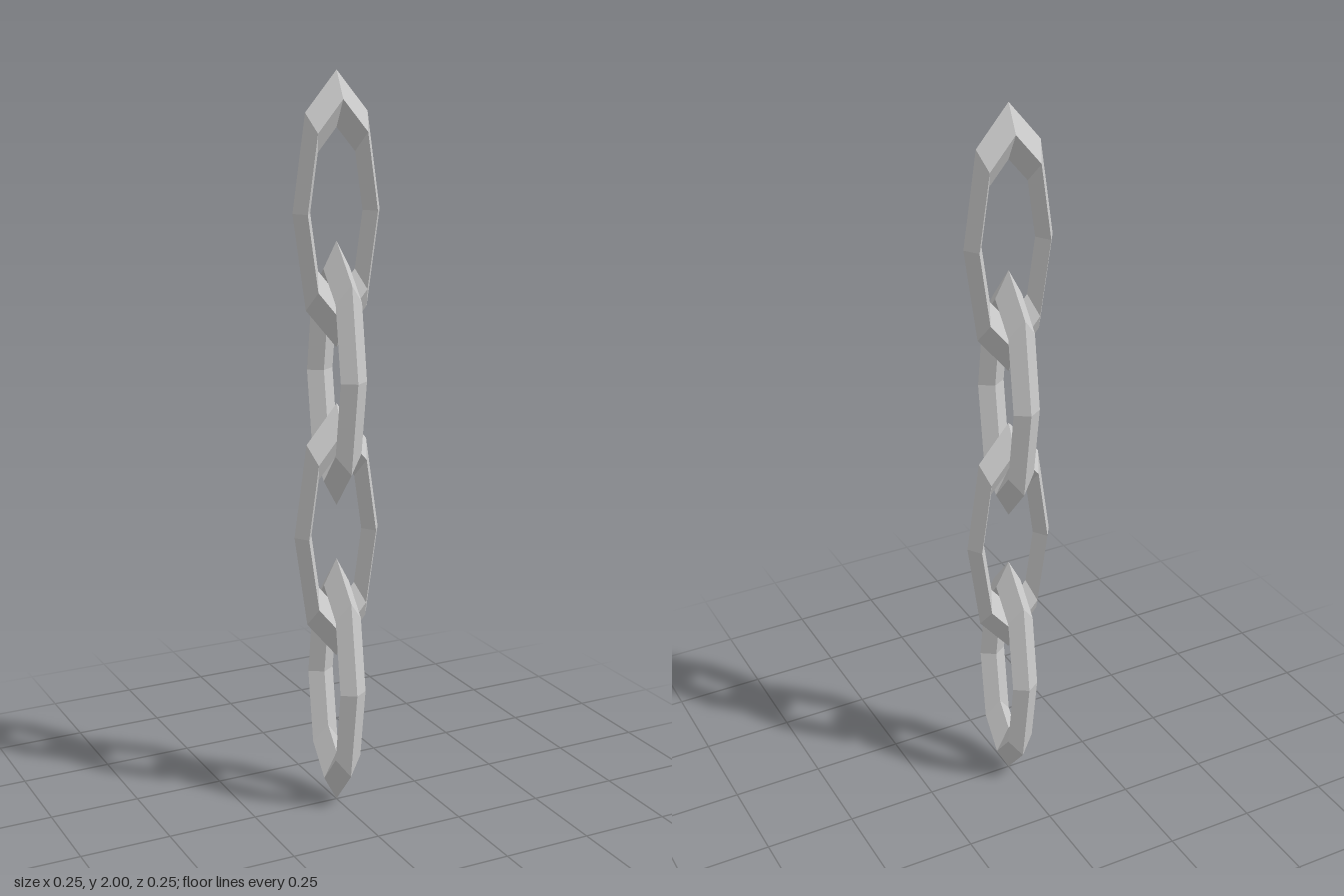
import * as THREE from 'three';

export function createModel() {
  const group = new THREE.Group();
  group.name = 'chain';
  const material = new THREE.MeshStandardMaterial({ color: 0xcccccc, flatShading: true });

  // One faceted link: a four-sided, eight-segment ring stretched upright
  const linkGeometry = new THREE.TorusGeometry(0.1, 0.025, 4, 8);
  linkGeometry.scale(1, 2.84, 1.52);
  linkGeometry.computeVertexNormals();

  // Links hang top to bottom, each turned a quarter from the last
  const count = 4, halfHeight = 0.355, spacing = 0.43;
  for (let i = 0; i < count; i++) {
    const link = new THREE.Mesh(linkGeometry, material);
    link.name = `link${i + 1}`;
    link.position.y = 2 - halfHeight - i * spacing;
    link.rotation.y = (i % 2) * Math.PI / 2;
    group.add(link);
  }
  return group;
}
